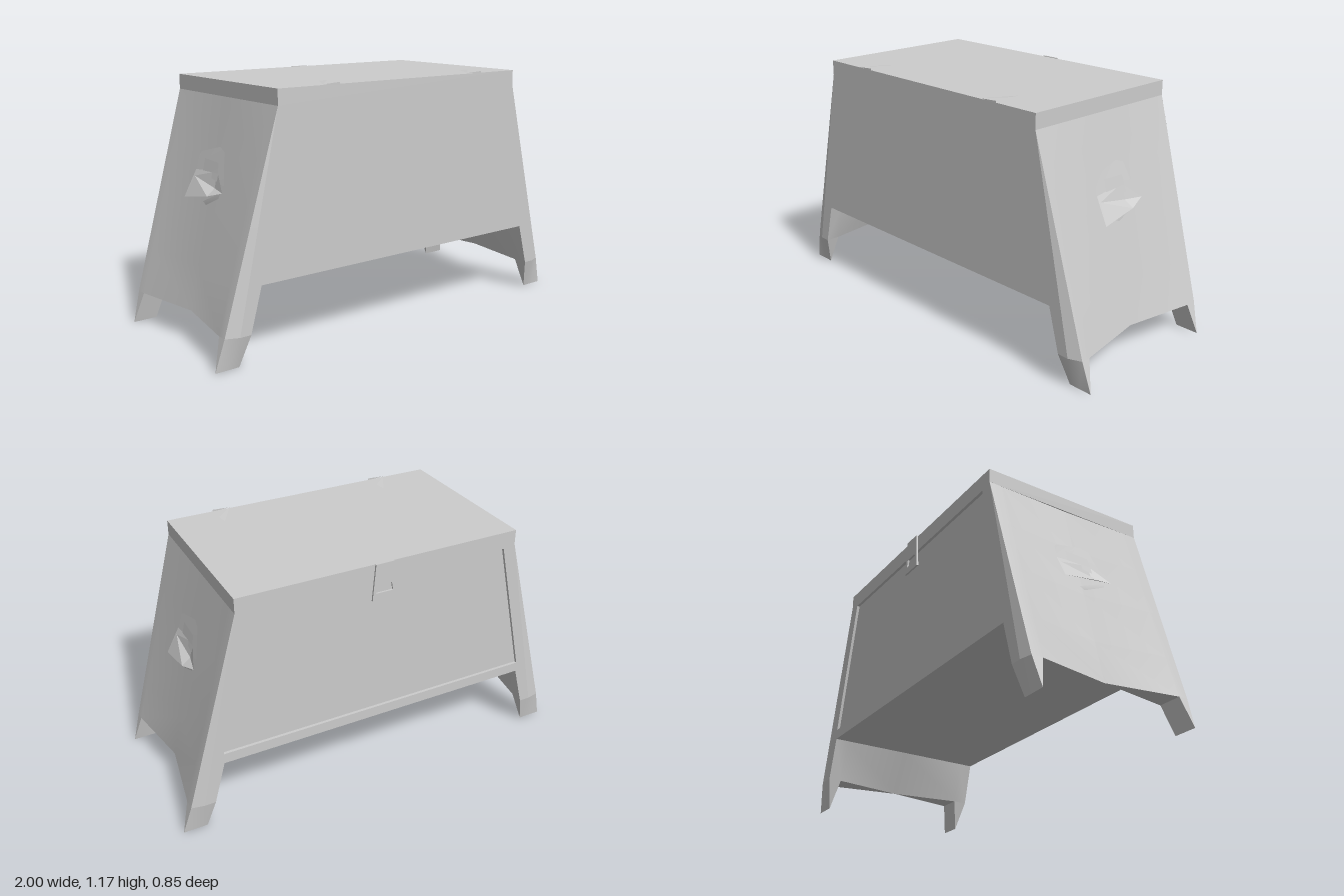
import * as THREE from 'three';
import { mergeGeometries, toCreasedNormals } from 'three/addons/utils/BufferGeometryUtils.js';

const TOP = 1.09, SKIRT = 0.145, FLOOR = 0.35, FRONT = 0.44, BACK = -0.395, MID = 0.02;

const outerX = (y) => 1 - 0.28 * y;              // sloping outer corner
const innerX = (y) => 0.885 - 0.271 * y;         // sloping inner side of the legs
const drop = (y) => (TOP - y) / (TOP - SKIRT);   // 0 under the lid, 1 at the skirt
const sideX = (y, z) => outerX(y) - (0.005 + 0.055 * drop(y)) * Math.max(0, 1 - Math.abs(z - MID) / 0.35);

// Surface through rows of points
function sheet(rows) {
  const n = rows[0].length, index = [];
  for (let r = 0; r < rows.length - 1; r++) {
    for (let c = 0; c < n - 1; c++) {
      const a = r * n + c, b = a + n;
      index.push(a, b, a + 1, b, b + 1, a + 1);
    }
  }
  const g = new THREE.BufferGeometry();
  g.setAttribute('position', new THREE.Float32BufferAttribute(rows.flat(2), 3));
  g.setIndex(index);
  return finish(g);
}

function finish(g) {
  g.deleteAttribute('uv');
  g.deleteAttribute('normal');
  const flat = g.index ? g.toNonIndexed() : g;
  flat.computeVertexNormals();
  return toCreasedNormals(flat, 0.6);
}

// Flat polygon drawn as a fan
function fan(points) {
  const [first, ...rest] = points;
  return sheet([rest.map(() => first), rest]);
}

const outline = (pts) => pts.map(([x, y]) => new THREE.Vector2(x, y));
const mirrored = (pts) => [...pts, ...pts.map(([x, y]) => [-x, y]).reverse()];

export function createModel() {
  const grey = new THREE.MeshStandardMaterial({ color: 0xcccccc, side: THREE.DoubleSide });
  grey.name = 'plain grey';
  const model = new THREE.Group();
  model.name = 'chest';

  const add = (name, geometry) => {
    const mesh = new THREE.Mesh(geometry, grey);
    mesh.name = name;
    model.add(mesh);
    return mesh;
  };

  // Lid
  add('lid', new THREE.BoxGeometry(1.39, 0.07, FRONT - BACK)).position.set(0, 1.125, (FRONT + BACK) / 2);

  // Front and back walls, running down into the legs
  const wall = mirrored([[0.695, TOP], [0.9, SKIRT], [innerX(SKIRT), SKIRT], [0.79, FLOOR]]);
  const recess = mirrored([[0.635, 1.078], [0.79, 0.4]]);
  add('frontWall', finish(new THREE.ShapeGeometry(new THREE.Shape(outline(wall))))).position.z = FRONT;
  const backShape = new THREE.Shape(outline(wall));
  backShape.holes.push(new THREE.Path(outline(recess)));
  add('backFrame', finish(new THREE.ShapeGeometry(backShape))).position.z = BACK;

  // Sunken back panel and its rim
  const panelZ = BACK + 0.014;
  add('backPanel', finish(new THREE.ShapeGeometry(new THREE.Shape(outline(recess))))).position.z = panelZ;
  const rim = [...recess, recess[0]];
  add('backPanelRim', sheet([BACK, panelZ].map((z) => rim.map(([x, y]) => [x, y, z]))));

  // Floor of the box
  add('floor', sheet([FRONT, BACK].map((z) => [[-0.79, FLOOR, z], [0.79, FLOOR, z]])));

  for (const s of [1, -1]) {
    const side = s > 0 ? 'left' : 'right';

    // Bowed end wall with bevelled corners
    const rows = [TOP, 0.85, 0.6, FLOOR, SKIRT].map((y) => {
      const t = drop(y);
      const edge = 0.695 + 0.205 * t;
      return [
        [s * edge, y, FRONT],
        [s * outerX(y), y, FRONT - 0.025 * t],
        ...[0.37, MID, -0.33].map((z) => [s * sideX(y, z), y, z]),
        [s * outerX(y), y, BACK + 0.012 * t],
        [s * edge, y, BACK],
      ];
    });
    // Inner face and underside of the skirt
    const zs = [FRONT, 0.37, MID, -0.33, BACK];
    const inner = [
      zs.map((z) => [s * 0.79, FLOOR, z]),
      zs.map((z) => [s * (z === MID ? 0.899 : innerX(SKIRT)), SKIRT, z]),
    ];
    const under = [inner[1].slice(1, 4), rows[4].slice(2, 5)];
    add(side + 'EndWall', mergeGeometries([sheet(rows), sheet(inner), sheet(under)]));

    // Blade-shaped feet
    const foot = (name, face, corner, inside, tip) => {
      const ix = innerX(SKIRT), ox = outerX(SKIRT);
      const ring = [[ix, face], [0.9, face], [ox, corner], [ox, inside], [ix, inside], [ix, face]];
      const toes = [0.885, 0.94, 1, 1, 0.885, 0.885];
      add(name, sheet([
        ring.map(([x, z]) => [s * x, SKIRT, z]),
        toes.map((x) => [s * x, 0, tip]),
      ]));
    };
    foot(side + 'FrontFoot', FRONT, FRONT - 0.025, 0.37, 0.402);
    foot(side + 'BackFoot', BACK, BACK + 0.012, -0.33, -0.365);

    // Handle, turned half round on the other end; points are z, y, stand-off
    const on = ([z, y, out]) => [s * (sideX(y, z) + out), y, s > 0 ? z : 2 * MID - z];
    const plate = (pts) => fan(pts.map(on));
    add(side + 'HandlePlate', mergeGeometries([
      plate([[0.145, 0.76, 0.006], [0.14, 0.825, 0.006], [0.125, 0.84, 0.006], [-0.015, 0.876, 0.006],
        [-0.06, 0.86, 0.006], [-0.11, 0.72, 0.006], [-0.035, 0.77, 0.006]]),
      plate([[0.085, 0.76, 0.012], [0.085, 0.815, 0.012], [-0.035, 0.81, 0.012], [-0.045, 0.765, 0.012]]),
      plate([[0.045, 0.63, 0.012], [0.02, 0.617, 0.012], [-0.09, 0.665, 0.012], [-0.1, 0.69, 0.012]]),
    ]));
    const a = [0.15, 0.637, 0.04], b = [-0.13, 0.695, 0.02], c = [-0.03, 0.772, 0.008];
    const d = [0.145, 0.757, 0.008], e = [0.135, 0.73, 0.016], f = [-0.04, 0.67, 0.046], h = [-0.035, 0.7, 0.01];
    add(side + 'HandleGrip', mergeGeometries([
      plate([a, e, f]), plate([a, d, e]), plate([d, c, e]), plate([e, c, h]),
      plate([c, b, h]), plate([f, h, b]), plate([e, h, f]), plate([a, f, b]),
    ]));
  }

  // Pointed hinge leaves folded over the lid edge
  for (const x of [-0.47, 0.38]) {
    add('hinge', mergeGeometries([
      fan([[x, 1.163, 0.442], [x + 0.09, 1.168, 0.35], [x + 0.08, 1.164, 0.3]]),
      fan([[x, 1.163, 0.442], [x + 0.09, 1.168, 0.44], [x + 0.09, 1.157, 0.44]]),
      fan([[x, 1.163, 0.443], [x + 0.09, 1.112, 0.443], [x + 0.08, 1.111, 0.443]]),
    ]));
  }

  // Clasp hanging over the back
  const claspShape = new THREE.Shape(outline(mirrored([[0.045, 1.162], [0.06, 0.985]])));
  claspShape.holes.push(new THREE.Path(outline(mirrored([[0.035, 1.06], [0.042, 1.02]]))));
  const clasp = new THREE.ExtrudeGeometry(claspShape, { depth: 0.009, bevelEnabled: false });
  add('clasp', finish(clasp)).position.z = BACK - 0.01;

  return model;
}
